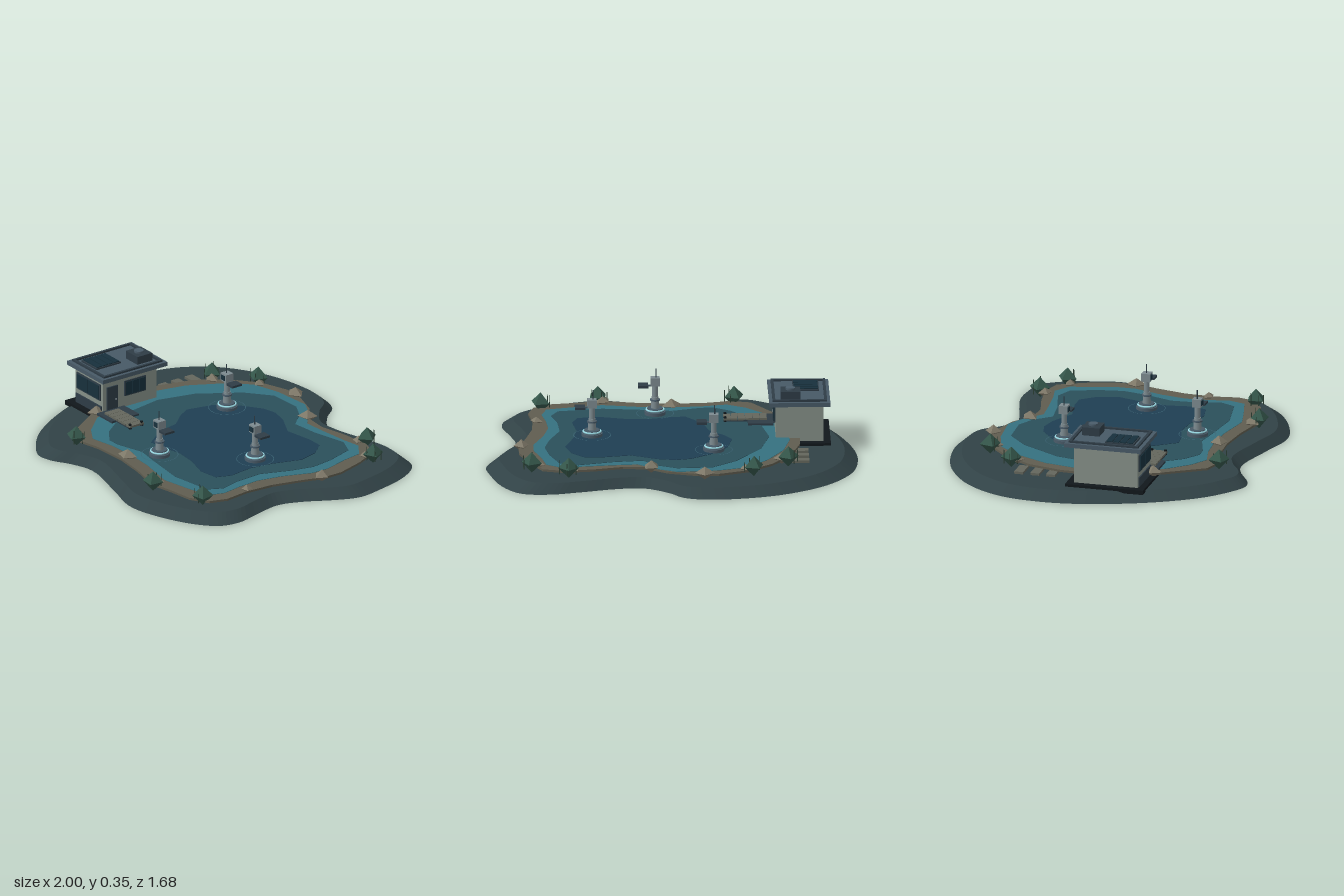
import * as THREE from 'three';

const mat = (color, extra = {}) => new THREE.MeshStandardMaterial({ color, ...extra });
const M = {
  ground: mat(0x314246, { side: THREE.DoubleSide }), sand: mat(0x5f5c4f), shallow: mat(0x35717f), mid: mat(0x2a4f5a),
  deep: mat(0x1f3f53), wall: mat(0x848f87), roof: mat(0x475966), trim: mat(0x2e3c46), dark: mat(0x11171b),
  glass: mat(0x17303c), metal: mat(0x7c8a8f), steel: mat(0x4a5c6a), glow: mat(0x9adbe6), wood: mat(0x64665c),
  ripple: mat(0x3a6474), reed: mat(0x2c4034),
  bush: mat(0x34564a, { flatShading: true }), rock: mat(0x7e7868, { flatShading: true }),
};

// Outlines as x, z pairs in hundredths of a unit
const SHORE = [-18, -84.5, -5, -81, 3, -72, 16, -63.5, 30, -64, 51, -69.5, 67, -73, 82, -71, 91.5, -59, 98, -37, 99.7, -24,
  95, -11, 86.5, 5, 82.5, 18, 85, 32, 89, 48, 87, 59, 78, 68.5, 59, 78.5, 38, 83.5, 16.5, 78.5, -13, 72, -26.5, 76,
  -37, 82, -46, 83.5, -56.5, 78, -71, 65, -87.5, 37.5, -98.5, 3, -100, -19, -96, -40, -82.5, -60.5, -61, -75.5, -40, -82.5];
const SAND = [-13, -65, 3, -60, 14, -52, 27, -51, 43, -55, 59, -57, 70, -54, 77, -40, 82, -24, 82, -13, 78, 0, 74, 16,
  73, 32, 75, 46, 72, 56, 62, 62, 49, 64, 35, 67, 16, 63, -2, 61, -21, 62, -34, 65, -45, 62, -59, 40, -70, 8, -69, -13,
  -64, -32, -53, -48, -40, -59, -24, -65];
const SHALLOW = [-2, -61, 8, -56, 19, -47, 32, -48, 49, -50, 59, -52, 68, -46, 70, -35, 74, -21, 74, -11, 68, 5, 65, 19,
  66, 32, 68, 43, 65, 52, 49, 56, 35, 59, 14, 55, -2, 54, -18, 55, -32, 58, -42, 52, -53, 40, -60, 19, -64, -5, -60, -24,
  -51, -41, -40, -54, -24, -59];
const MID = [-21, -54, -2, -55, 8, -50, 16, -41, 32, -43, 51, -48, 61, -44, 66, -29, 68, -16, 65, -3, 59, 13, 60, 29,
  63, 40, 59, 48, 35, 52, 11, 49, -2, 47, -18, 52, -25, 52, -34, 46, -48, 27, -53, 0, -48, -21, -34, -43];
const DEEP = [-2, -41, 8, -39, 22, -32, 38, -35, 47, -35, 54, -27, 57, -16, 52, 0, 50, 13, 52, 27, 49, 35, 38, 37, 24, 33,
  11, 32, 0, 35, -9, 36, -18, 24, -21, 11, -29, 2, -33, -5, -30, -19, -21, -31, -10, -39];

function add(parent, name, geometry, material, x = 0, y = 0, z = 0) {
  const mesh = new THREE.Mesh(geometry, material);
  mesh.name = name;
  mesh.position.set(x, y, z);
  parent.add(mesh);
  return mesh;
}

// Box given by its limits on each axis
function block(parent, name, material, x0, x1, y0, y1, z0, z1) {
  return add(parent, name, new THREE.BoxGeometry(x1 - x0, y1 - y0, z1 - z0), material,
    (x0 + x1) / 2, (y0 + y1) / 2, (z0 + z1) / 2);
}

// Vertical cylinder from y0 to y1
function post(parent, name, material, rBottom, rTop, y0, y1, sides = 16, x = 0, z = 0) {
  return add(parent, name, new THREE.CylinderGeometry(rTop, rBottom, y1 - y0, sides), material, x, (y0 + y1) / 2, z);
}

// Horizontal layer with a free outline, open underneath; its top may be drawn in
function layer(parent, name, material, outline, y0, y1, smooth = false, topScale = 1) {
  let pts = [];
  for (let i = 0; i < outline.length; i += 2) pts.push(new THREE.Vector3(outline[i] / 100, -outline[i + 1] / 100, 0));
  if (smooth) pts = new THREE.CatmullRomCurve3(pts, true).getPoints(160).slice(0, 160);
  const shape = new THREE.Shape(pts.map(p => new THREE.Vector2(p.x, p.y)));
  const solid = new THREE.ExtrudeGeometry(shape, { depth: y1 - y0, bevelEnabled: false });
  solid.rotateX(-Math.PI / 2);
  // The first half of the lid corners is the underside
  const start = solid.groups[0].count / 2;
  const g = new THREE.BufferGeometry();
  g.setAttribute('position', new THREE.BufferAttribute(solid.attributes.position.array.slice(start * 3), 3));
  const p = g.attributes.position;
  for (let i = 0; i < p.count; i++) {
    if (p.getY(i) > (y1 - y0) / 2) p.setXYZ(i, p.getX(i) * topScale, p.getY(i), p.getZ(i) * topScale);
  }
  g.computeVertexNormals();
  return add(parent, name, g, material, 0, y0, 0);
}

function buildHouse() {
  const h = new THREE.Group();
  h.name = 'stationHouse';
  block(h, 'foundation', M.dark, -0.86, -0.53, 0.04, 0.064, -0.06, 0.375);
  block(h, 'walls', M.wall, -0.82, -0.565, 0.064, 0.27, -0.02, 0.335);
  block(h, 'roofSlab', M.roof, -0.857, -0.53, 0.27, 0.293, -0.065, 0.362);
  // Raised roof rim
  block(h, 'roofRim', M.trim, -0.84, -0.825, 0.293, 0.303, -0.045, 0.342);
  block(h, 'roofRim', M.trim, -0.562, -0.547, 0.293, 0.303, -0.045, 0.342);
  block(h, 'roofRim', M.trim, -0.825, -0.562, 0.293, 0.303, -0.045, -0.03);
  block(h, 'roofRim', M.trim, -0.825, -0.562, 0.293, 0.303, 0.327, 0.342);
  // Ventilation unit
  block(h, 'ventBase', M.trim, -0.698, -0.592, 0.293, 0.338, -0.01, 0.088);
  post(h, 'ventFan', M.steel, 0.026, 0.026, 0.338, 0.349, 20, -0.645, 0.04);
  // Solar panel strips
  block(h, 'solarFrame', M.trim, -0.802, -0.662, 0.293, 0.302, 0.148, 0.308);
  for (let i = 0; i < 4; i++) block(h, 'solarStrip', M.glass, -0.797, -0.667, 0.302, 0.307, 0.154 + i * 0.038, 0.186 + i * 0.038);
  // Front window and lower panel
  block(h, 'frontWindowFrame', M.trim, -0.802, -0.585, 0.148, 0.242, 0.335, 0.341);
  for (let i = 0; i < 2; i++) block(h, 'frontPane', M.glass, -0.794 + i * 0.103, -0.696 + i * 0.103, 0.156, 0.234, 0.341, 0.345);
  block(h, 'frontLowerPanel', M.trim, -0.808, -0.575, 0.066, 0.118, 0.335, 0.342);
  // Side window and door facing the water
  block(h, 'sideWindowFrame', M.trim, -0.565, -0.559, 0.148, 0.236, 0.055, 0.195);
  for (let i = 0; i < 3; i++) block(h, 'sidePane', M.glass, -0.559, -0.555, 0.155, 0.229, 0.061 + i * 0.044, 0.101 + i * 0.044);
  block(h, 'door', M.trim, -0.565, -0.557, 0.085, 0.227, 0.243, 0.312);
  block(h, 'doorHandle', M.metal, -0.557, -0.552, 0.145, 0.155, 0.252, 0.26);
  return h;
}

function buildDock() {
  const d = new THREE.Group();
  d.name = 'dock';
  block(d, 'landing', M.trim, -0.56, -0.422, 0.064, 0.096, 0.2, 0.38);
  for (let i = 0; i < 6; i++) block(d, 'plank', M.wood, -0.525 + i * 0.039, -0.488 + i * 0.039, 0.096, 0.107, 0.262, 0.354);
  for (const z of [0.27, 0.346]) {
    block(d, 'dockBeam', M.trim, -0.53, -0.295, 0.088, 0.096, z - 0.006, z + 0.006);
    post(d, 'dockPost', M.dark, 0.008, 0.008, 0.035, 0.115, 8, -0.302, z);
  }
  return d;
}

function buildBuoy(x, z) {
  const b = new THREE.Group();
  b.name = 'sensorBuoy';
  b.position.set(x, 0, z);
  post(b, 'float', M.steel, 0.057, 0.057, 0.076, 0.104, 20);
  post(b, 'floatTop', M.roof, 0.05, 0.042, 0.104, 0.122, 20);
  add(b, 'lightRing', new THREE.TorusGeometry(0.047, 0.005, 6, 28).rotateX(Math.PI / 2), M.glow, 0, 0.113, 0);
  post(b, 'column', M.metal, 0.023, 0.019, 0.122, 0.185, 12);
  post(b, 'collar', M.steel, 0.027, 0.027, 0.163, 0.171, 12);
  post(b, 'neck', M.metal, 0.016, 0.016, 0.185, 0.247, 12);
  block(b, 'head', M.metal, -0.025, 0.025, 0.247, 0.292, -0.024, 0.024);
  block(b, 'screen', M.glass, -0.016, 0.016, 0.256, 0.283, 0.024, 0.028);
  post(b, 'antenna', M.trim, 0.004, 0.003, 0.292, 0.342, 6, -0.005);
  block(b, 'panelArm', M.steel, 0.012, 0.045, 0.243, 0.25, -0.006, 0.006);
  block(b, 'sidePanel', M.trim, 0.037, 0.092, 0.241, 0.253, -0.032, 0.032);
  add(b, 'ripple', new THREE.RingGeometry(0.098, 0.101, 40).rotateX(-Math.PI / 2), M.ripple, 0, 0.091, 0);
  return b;
}

export function createModel() {
  const model = new THREE.Group();
  model.name = 'lakeStation';

  // Ground and layered lake
  layer(model, 'ground', M.ground, SHORE, 0, 0.05, true, 0.93);
  layer(model, 'sandBank', M.sand, SAND, 0.071, 0.083);
  layer(model, 'shallowWater', M.shallow, SHALLOW, 0.073, 0.085);
  layer(model, 'middleWater', M.mid, MID, 0.073, 0.087);
  layer(model, 'deepWater', M.deep, DEEP, 0.073, 0.089);

  model.add(buildHouse(), buildDock());
  for (const [x, z] of [[-0.225, -0.24], [0.42, 0.04], [0.07, 0.42]]) model.add(buildBuoy(x, z));

  // Stepping slabs behind the house
  for (const z of [-0.352, -0.262, -0.175]) block(model, 'step', M.wood, -0.735, -0.62, 0.054, 0.067, z - 0.025, z + 0.025);

  // Shrubs with reeds beside them
  const shrubs = [[-0.43, -0.595], [-0.62, -0.425], [0.565, -0.595], [0.76, -0.495], [0.68, 0.575], [0.37, 0.68], [-0.36, 0.66]];
  shrubs.forEach(([x, z], i) => {
    const s = add(model, 'shrub', new THREE.OctahedronGeometry(0.057), M.bush, x, 0.108, z);
    s.rotation.y = 0.5 + i * 1.3;
    for (let k = 0; k < 3; k++) {
      const a = i * 1.9 + k * 1.1;
      post(model, 'reed', M.reed, 0.003, 0.002, 0.076, 0.13 + k * 0.012, 5, x + Math.cos(a) * 0.05, z + Math.sin(a) * 0.04);
    }
  });

  // Shore rocks: x, z, radius
  const rocks = [[-0.165, -0.65, 0.053], [0.118, -0.525, 0.052], [0.805, -0.125, 0.05], [0.71, 0.305, 0.035], [-0.02, 0.565, 0.055],
    [-0.595, 0.36, 0.05], [0.54, -0.56, 0.04], [-0.585, -0.4, 0.045], [0.345, 0.65, 0.05], [-0.385, -0.57, 0.035], [0.72, -0.47, 0.035]];
  rocks.forEach(([x, z, r], i) => {
    const k = add(model, 'rock', new THREE.OctahedronGeometry(r), M.rock, x, 0.089, z);
    k.scale.set(1.05, 0.68, 0.85);
    k.rotation.y = i * 0.9;
  });
  return model;
}
